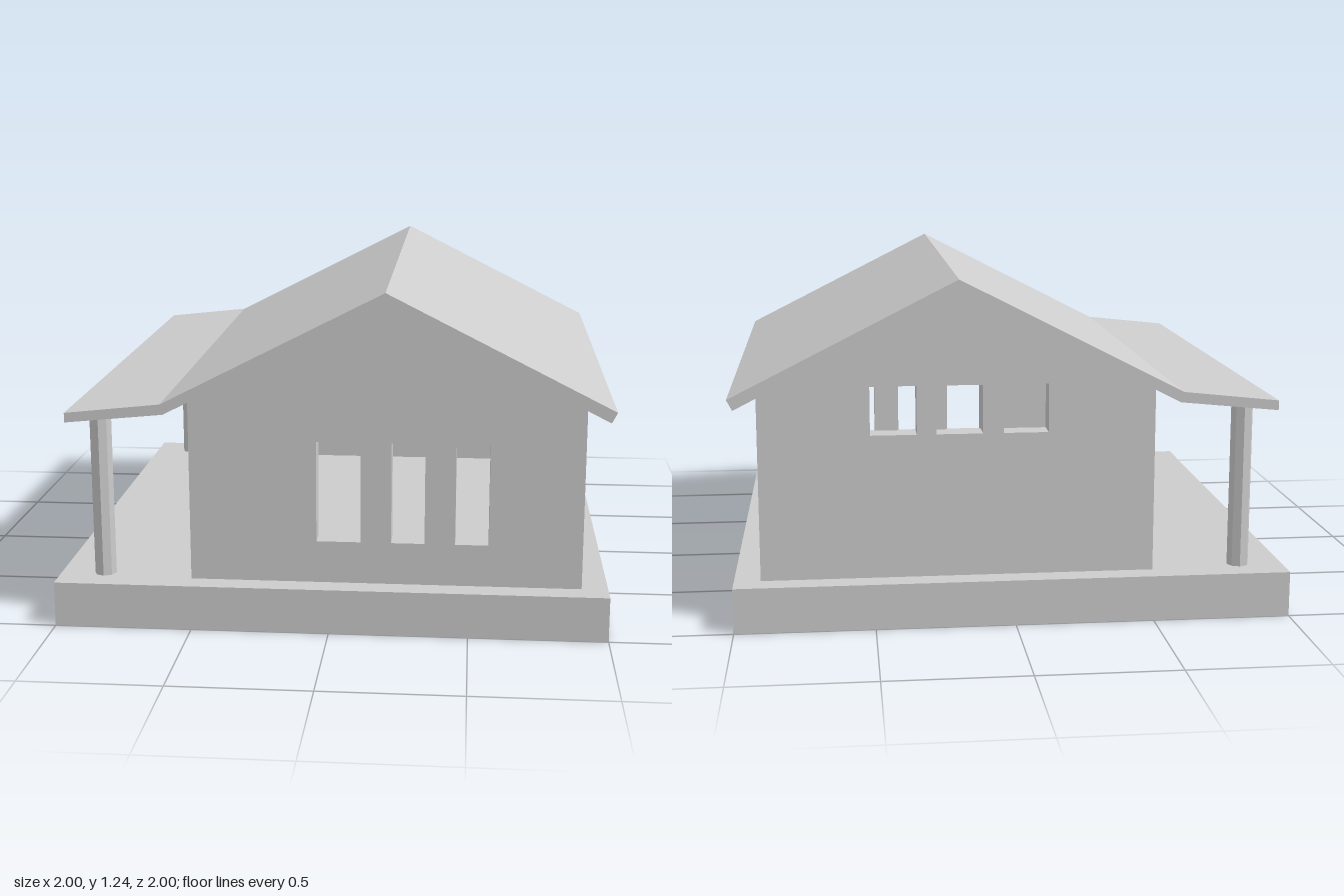
import * as THREE from 'three';

const BASE = 0.165;            // top of the plinth
const LEFT = -0.51, RIGHT = 0.905, DEPTH = 0.915, WALL = 0.085;

// Closed outline from [x, y] points
const outline = (pts) => new THREE.Shape(pts.map(([x, y]) => new THREE.Vector2(x, y)));

const rectHole = (x0, x1, y0, y1) =>
  new THREE.Path([[x0, y0], [x0, y1], [x1, y1], [x1, y0]].map(([x, y]) => new THREE.Vector2(x, y)));

const extrude = (shape, depth) =>
  new THREE.ExtrudeGeometry(shape, { depth, bevelEnabled: false });

export function createModel() {
  const house = new THREE.Group();
  house.name = 'house';
  const grey = new THREE.MeshStandardMaterial({ color: 0xcccccc });
  grey.name = 'plain grey';

  const add = (name, geometry, x = 0, y = 0, z = 0) => {
    const mesh = new THREE.Mesh(geometry, grey);
    mesh.name = name;
    mesh.position.set(x, y, z);
    house.add(mesh);
    return mesh;
  };

  // Plinth, also the floor of the room and porch
  add('plinth', new THREE.BoxGeometry(2, BASE, 2), 0, BASE / 2, 0);

  // Gable walls with their window openings
  const gable = (windows, y0, y1) => {
    const shape = outline([[LEFT, BASE], [RIGHT, BASE], [RIGHT, 0.84], [0.2, 1.202], [LEFT, 0.838]]);
    for (const [x0, x1] of windows) shape.holes.push(rectHole(x0, x1, y0, y1));
    return extrude(shape, WALL);
  };
  add('frontWall', gable([[-0.05, 0.11], [0.22, 0.34], [0.45, 0.57]], 0.32, 0.69), 0, 0, DEPTH - WALL);
  add('backWall', gable([[-0.125, 0.035], [0.11, 0.275], [0.345, 0.51]], 0.685, 0.86), 0, 0, -DEPTH);

  // Closed side wall
  const inner = DEPTH - WALL, top = 0.86;
  add('closedSideWall', new THREE.BoxGeometry(WALL, top - BASE, inner * 2),
    RIGHT - WALL / 2, (top + BASE) / 2, 0);

  // Porch side wall, outlined along z with a doorway notch
  const porchWall = extrude(outline([
    [-inner, BASE], [0.32, BASE], [0.32, 0.69], [0.61, 0.69],
    [0.61, BASE], [inner, BASE], [inner, top], [-inner, top],
  ]), WALL);
  porchWall.rotateY(-Math.PI / 2);
  add('porchSideWall', porchWall, LEFT + WALL, 0, 0);

  // Roof: two slopes with a shallower run over the porch
  const roof = outline([
    [-0.935, 0.765], [-0.582, 0.8], [0.2, 1.2], [0.98, 0.8],
    [1, 0.838], [0.2, 1.242], [-0.592, 0.837], [-0.935, 0.8],
  ]);
  add('roof', extrude(roof, 2), 0, 0, -1);

  // Eight-sided porch posts
  const postTop = 0.785;
  const post = new THREE.CylinderGeometry(0.04, 0.04, postTop - BASE, 8).toNonIndexed();
  post.computeVertexNormals();
  for (const side of [1, -1]) {
    add(side > 0 ? 'frontPost' : 'backPost', post, -0.837, (postTop + BASE) / 2, side * 0.873);
  }
  return house;
}
